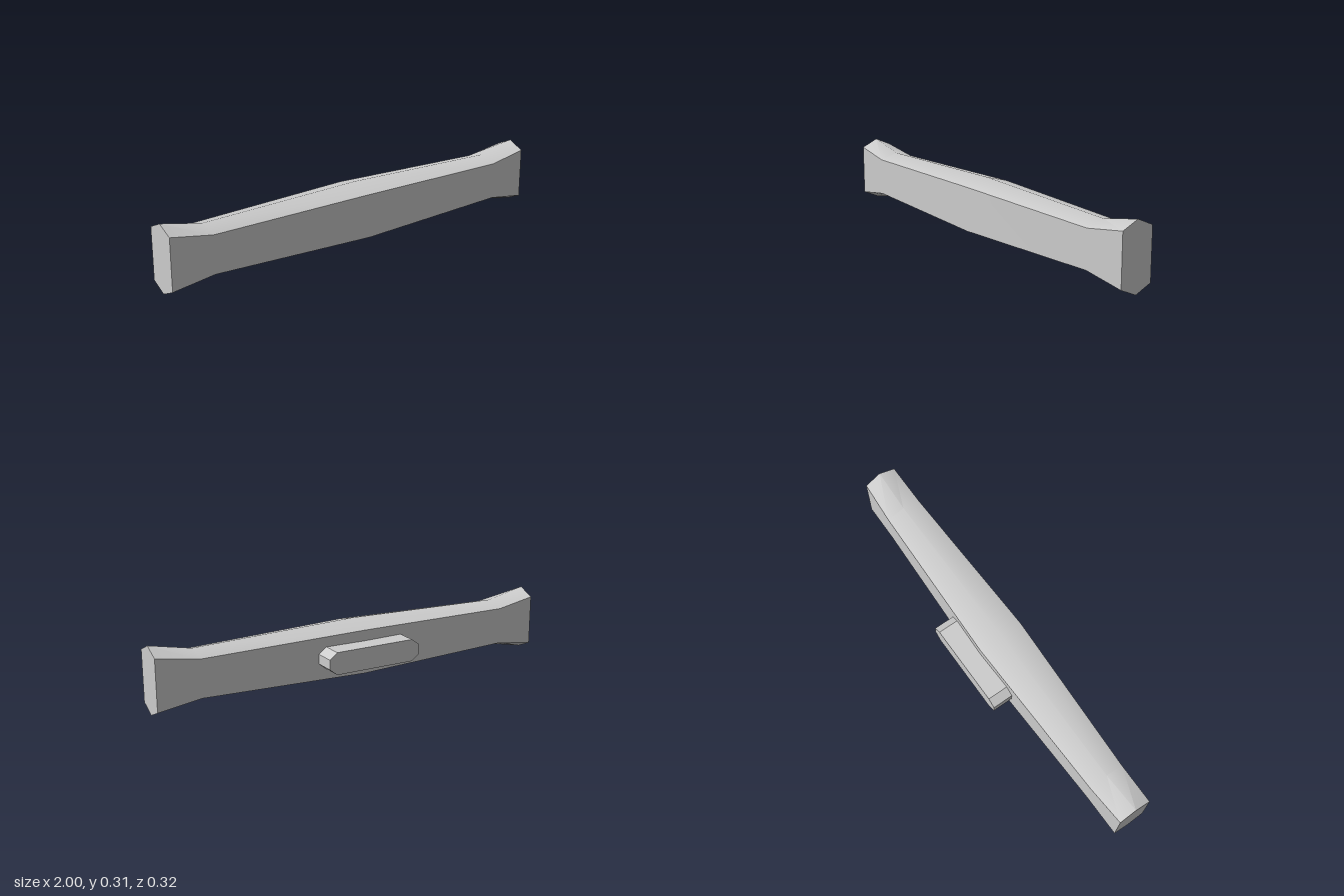
import * as THREE from 'three';
import { toCreasedNormals } from 'three/addons/utils/BufferGeometryUtils.js';

const MID_Y = 0.159, MID_Z = 0.047;

// Six-sided cross-sections along x: [x, half depth, half side height, half ridge height]
const STATIONS = [
  [-1, 0.08, 0.121, 0.157],
  [-0.8, 0.088, 0.089, 0.115],
  [0, 0.114, 0.104, 0.136],
  [0.8, 0.088, 0.089, 0.115],
  [1, 0.08, 0.121, 0.157],
];

function beamGeometry() {
  const positions = [], index = [];
  for (const [x, d, side, ridge] of STATIONS) {
    const ring = [[ridge, 0], [side, d], [-side, d], [-ridge, 0], [-side, -d], [side, -d]];
    for (const [y, z] of ring) positions.push(x, MID_Y + y, MID_Z + z);
  }
  // Long sides
  for (let s = 0; s < STATIONS.length - 1; s++) {
    for (let i = 0; i < 6; i++) {
      const a = s * 6 + i, b = s * 6 + (i + 1) % 6;
      index.push(a, b, b + 6, a, b + 6, a + 6);
    }
  }
  // End caps
  const last = (STATIONS.length - 1) * 6;
  for (let i = 1; i < 5; i++) {
    index.push(0, i + 1, i);
    index.push(last, last + i, last + i + 1);
  }
  const geometry = new THREE.BufferGeometry();
  geometry.setAttribute('position', new THREE.Float32BufferAttribute(positions, 3));
  geometry.setIndex(index);
  return toCreasedNormals(geometry, 0.7);
}

// Block with chamfered corners, extruded backwards from the beam
function gripGeometry() {
  const outline = [
    [-0.2, 0.107], [0.197, 0.107], [0.235, 0.137], [0.235, 0.183],
    [0.197, 0.212], [-0.2, 0.212], [-0.24, 0.183], [-0.24, 0.137],
  ].map(([x, y]) => new THREE.Vector2(x, y));
  const geometry = new THREE.ExtrudeGeometry(new THREE.Shape(outline), { depth: 0.1, bevelEnabled: false });
  return geometry.translate(0, 0, -0.16);
}

export function createModel() {
  const group = new THREE.Group();
  group.name = 'flaredBar';
  const grey = new THREE.MeshStandardMaterial({ color: 0xcccccc });
  grey.name = 'lightGrey';

  const beam = new THREE.Mesh(beamGeometry(), grey);
  beam.name = 'beam';
  const grip = new THREE.Mesh(gripGeometry(), grey);
  grip.name = 'rearGrip';
  group.add(beam, grip);
  return group;
}
